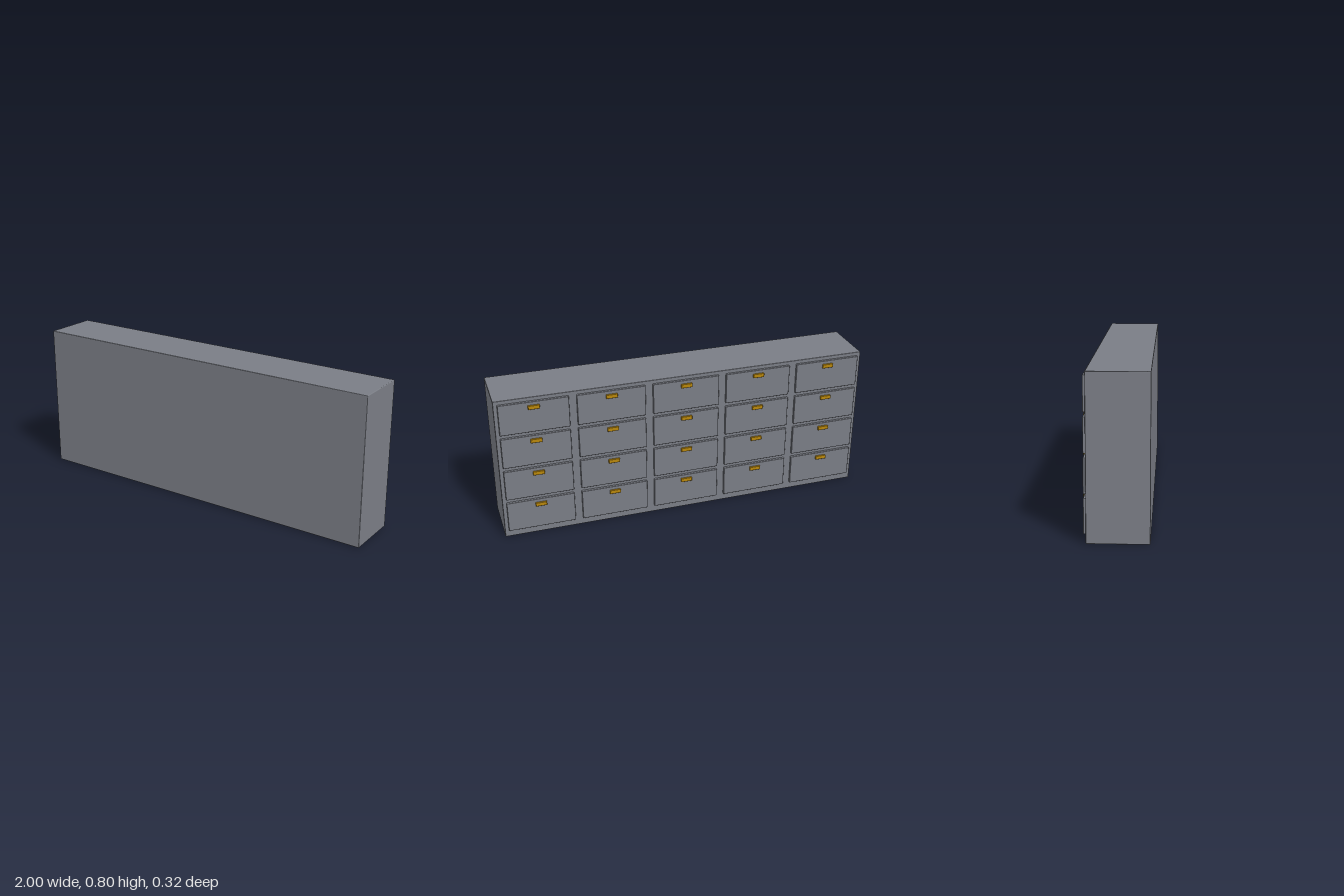
import * as THREE from 'three';
import { RoundedBoxGeometry } from 'three/addons/geometries/RoundedBoxGeometry.js';

export function createModel() {
  const model = new THREE.Group();
  model.name = 'drawerCabinet';

  const greyPaint = new THREE.MeshStandardMaterial({ color: 0x7a7d85 });
  greyPaint.name = 'greyPaint';
  const brass = new THREE.MeshStandardMaterial({ color: 0xb8860b });
  brass.name = 'brass';

  const add = (parent, name, geometry, material, x, y, z) => {
    const mesh = new THREE.Mesh(geometry, material);
    mesh.name = name;
    mesh.position.set(x, y, z);
    parent.add(mesh);
  };

  // Cabinet body, with its drawer side facing -z
  const backZ = -0.137;
  const bodyDepth = 0.16 - backZ;
  add(model, 'cabinetBody', new RoundedBoxGeometry(2, 0.8, bodyDepth, 2, 0.004),
    greyPaint, 0, 0.4, backZ + bodyDepth / 2);

  // Grid of drawers, each with a small pull near its top edge
  const frontGeometry = new RoundedBoxGeometry(0.36, 0.17, 0.018, 2, 0.004);
  const pullGeometry = new RoundedBoxGeometry(0.06, 0.022, 0.012, 2, 0.003);
  for (let row = 0; row < 4; row++) {
    for (let column = 0; column < 5; column++) {
      const drawer = new THREE.Group();
      drawer.name = `drawer_${row + 1}_${column + 1}`;
      drawer.position.set(-0.8 + column * 0.4, 0.125 + row * 0.19, 0);
      add(drawer, 'drawerFront', frontGeometry, greyPaint, 0, 0, -0.141);
      add(drawer, 'drawerPull', pullGeometry, brass, 0, 0.056, -0.154);
      model.add(drawer);
    }
  }
  return model;
}
